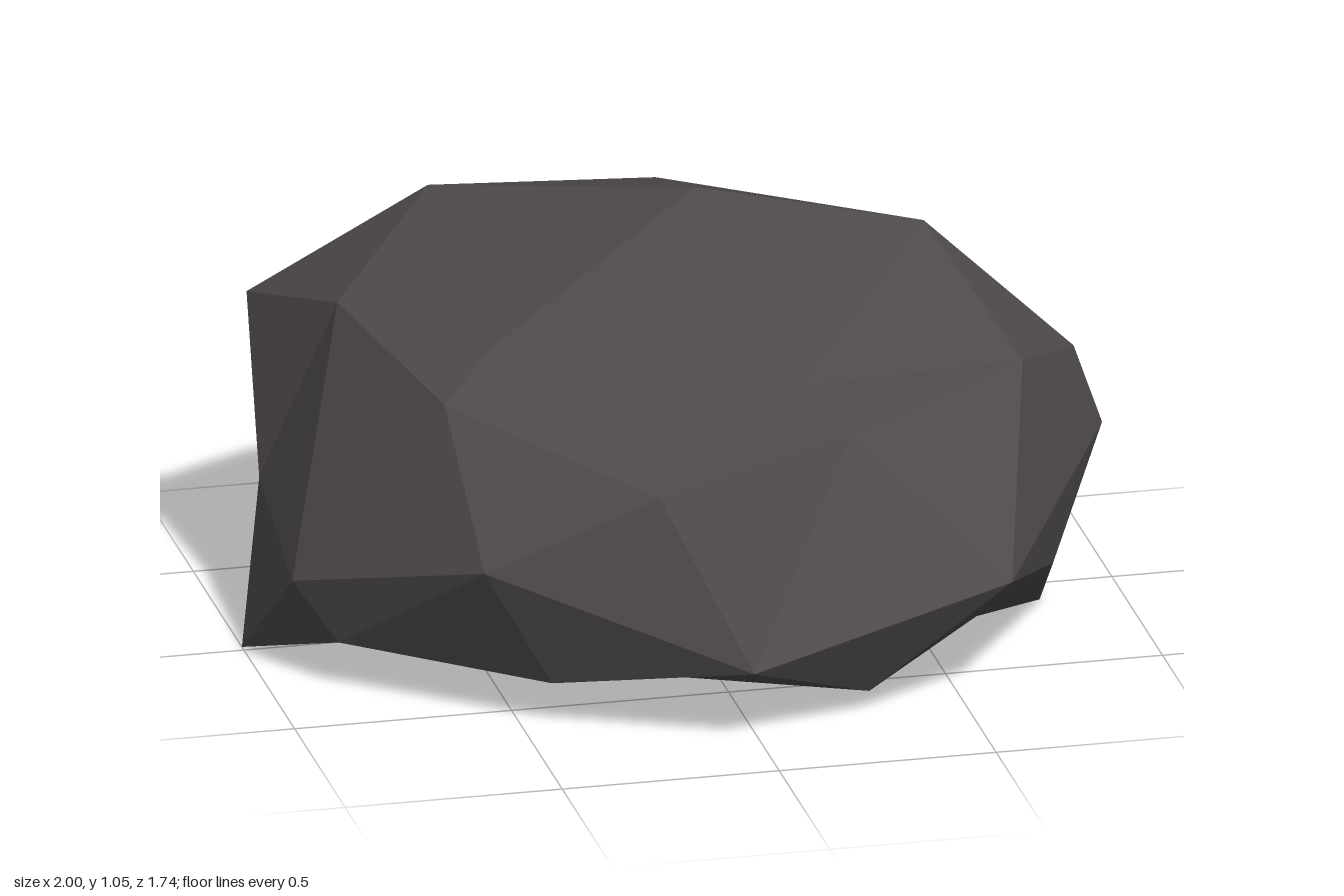
import * as THREE from 'three';
import { ConvexGeometry } from 'three/addons/geometries/ConvexGeometry.js';

// Corner points of the rock, grouped by height band (x, y, z)
const crown = [
  [0.02, 1.055, 0.08], [-0.49, 0.935, -0.37], [0.03, 0.915, -0.35], [0.58, 0.873, -0.06],
  [-0.745, 0.75, -0.17], [-0.48, 0.76, 0.21], [0.17, 0.718, 0.49], [0.715, 0.676, 0.34],
];
const shoulder = [
  [-0.875, 0.66, -0.51], [-0.617, 0.685, 0.34], [-0.207, 0.563, 0.71], [0.275, 0.605, 0.53],
  [0.9, 0.585, 0.05], [0.67, 0.57, -0.5], [-0.4, 0.555, -0.6], [0.145, 0.49, -0.87],
  [-0.605, 0.445, -0.855],
];
const belly = [
  [-0.595, 0.39, 0.64], [0.96, 0.405, 0.075], [1, 0.348, -0.19], [0.71, 0.35, -0.795],
  [-0.035, 0.33, -0.8], [-0.91, 0.32, -0.235], [0.6, 0.298, 0.73], [-0.94, 0.245, 0.22],
  [-0.025, 0.183, 0.865], [0.79, 0.173, 0.32],
];
const foot = [
  [-0.85, 0.115, 0.29], [-0.435, 0.105, 0.62], [0.28, 0.05, 0.69], [0.27, 0.05, -0.83],
  [0.65, 0.05, -0.585], [0.81, 0, 0.1], [0.44, 0, 0.26], [-0.15, 0, 0.355],
  [-0.6, 0, -0.15], [-1, 0, -0.02], [-0.73, 0, -0.6], [-0.4, 0, -0.71], [0, 0, -0.2],
];

// Skins scattered points: hull their directions around a core, then move
// each hull corner back out to its real position, so hollows survive.
function skinPoints(points, core, stretchY) {
  const directions = points.map((p) => {
    const d = p.clone().sub(core);
    d.y *= stretchY;
    return d.normalize();
  });
  const geometry = new ConvexGeometry(directions);
  const position = geometry.attributes.position;
  const corner = new THREE.Vector3();
  for (let i = 0; i < position.count; i++) {
    corner.fromBufferAttribute(position, i);
    let nearest = 0;
    directions.forEach((d, k) => {
      if (d.distanceToSquared(corner) < directions[nearest].distanceToSquared(corner)) nearest = k;
    });
    position.setXYZ(i, ...points[nearest].toArray());
  }
  geometry.computeVertexNormals();
  return geometry;
}

export function createModel() {
  const group = new THREE.Group();
  group.name = 'rock';

  const darkStone = new THREE.MeshStandardMaterial({ color: 0x4d4948, flatShading: true });
  darkStone.name = 'dark stone';

  // Faceted boulder with a flat underside
  const points = [...crown, ...shoulder, ...belly, ...foot].map((p) => new THREE.Vector3(...p));
  const boulder = new THREE.Mesh(skinPoints(points, new THREE.Vector3(0, 0.35, 0), 1.7), darkStone);
  boulder.name = 'boulder';
  group.add(boulder);

  return group;
}
